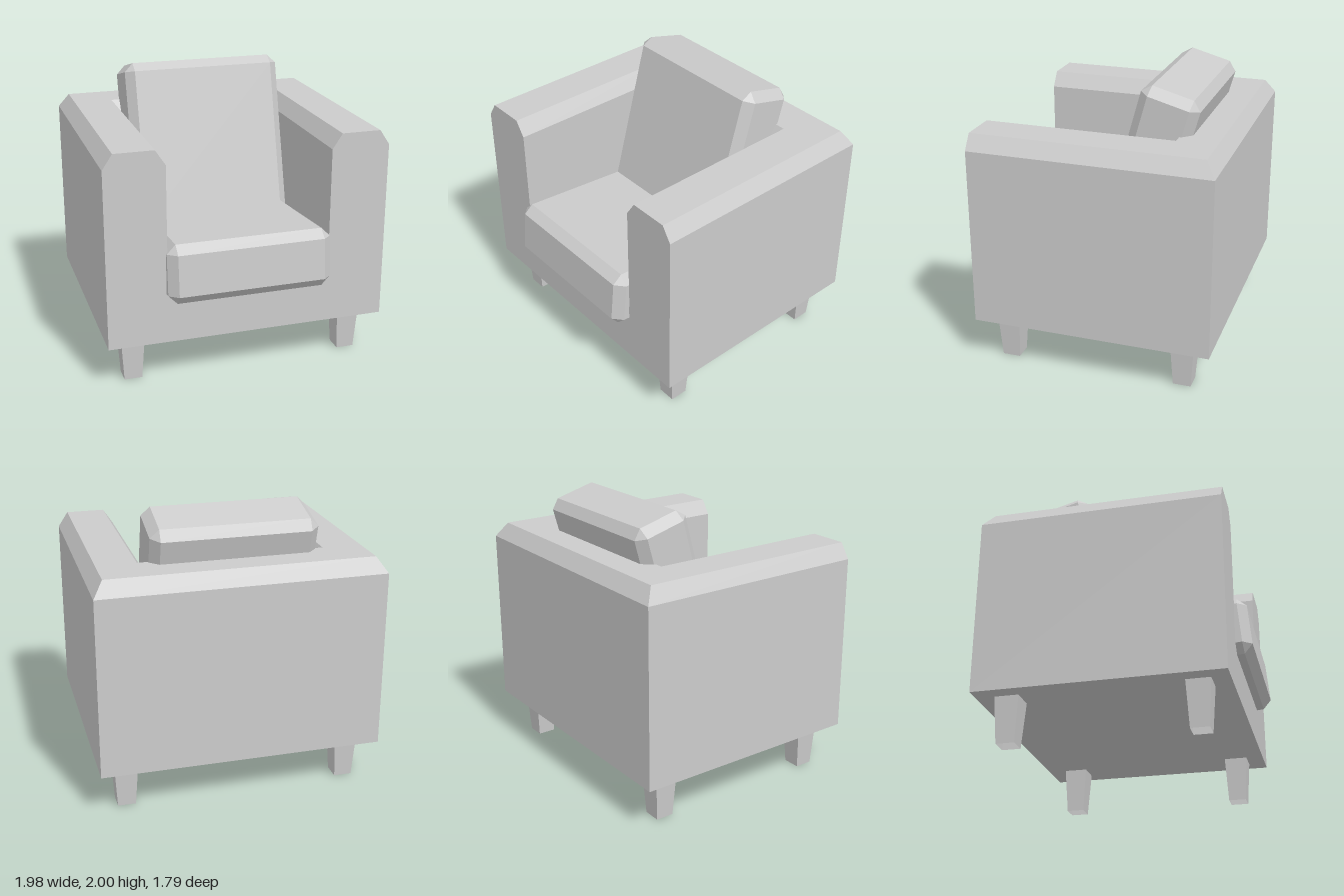
import * as THREE from 'three';
import { ConvexGeometry } from 'three/addons/geometries/ConvexGeometry.js';

const grey = new THREE.MeshStandardMaterial({ color: 0xcccccc, flatShading: true });
const greyOpen = new THREE.MeshStandardMaterial({ color: 0xcccccc, flatShading: true, side: THREE.DoubleSide });

function addMesh(parent, name, geometry, material = grey) {
  const mesh = new THREE.Mesh(geometry, material);
  mesh.name = name;
  parent.add(mesh);
  return mesh;
}

// Box with every edge and corner cut off
function chamferedBox(w, h, d, c) {
  const points = [];
  for (const x of [-1, 1]) for (const y of [-1, 1]) for (const z of [-1, 1]) {
    for (let axis = 0; axis < 3; axis++) {
      const inset = [c, c, c];
      inset[axis] = 0;
      points.push(new THREE.Vector3(x * (w / 2 - inset[0]), y * (h / 2 - inset[1]), z * (d / 2 - inset[2])));
    }
  }
  return new ConvexGeometry(points);
}

// Wall section: [distance in from the outer face, height]
const HALF = 0.99, FRONT = 0.79, BACK = -0.895, BOTTOM = 0.32, WALL = 0.415;
const section = [
  [0, BOTTOM], [0, 1.58], [0.07, 1.685], [WALL - 0.07, 1.685], [WALL, 1.58], [WALL, BOTTOM],
];

// Section swept round the arms and back with mitred corners
function wallGeometry() {
  const rings = [[1, true], [1, false], [-1, false], [-1, true]].map(([side, front]) =>
    section.map(([d, y]) => [side * (HALF - d), y, front ? FRONT : BACK + d]));
  const positions = [];
  for (let i = 0; i < rings.length - 1; i++) {
    for (let j = 0; j < section.length; j++) {
      const k = (j + 1) % section.length;
      const a = rings[i][j], b = rings[i + 1][j], c = rings[i + 1][k], d = rings[i][k];
      positions.push(...a, ...b, ...c, ...a, ...c, ...d);
    }
  }
  const geometry = new THREE.BufferGeometry();
  geometry.setAttribute('position', new THREE.Float32BufferAttribute(positions, 3));
  geometry.computeVertexNormals();
  return geometry;
}

// Cushion leaning back by an angle; up and out are ranges along its tilted axes
function addCushion(parent, name, lean, up, out) {
  const pivot = new THREE.Group();
  pivot.name = name;
  pivot.rotation.x = -lean;
  const geometry = chamferedBox(1.155, up[1] - up[0], out[1] - out[0], 0.062);
  const mesh = addMesh(pivot, name + 'Pad', geometry);
  mesh.position.set(-0.007, (up[0] + up[1]) / 2, (out[0] + out[1]) / 2);
  parent.add(pivot);
}

export function createModel() {
  const chair = new THREE.Group();
  chair.name = 'armchair';

  // Arms and back
  const frame = new THREE.Group();
  frame.name = 'frame';
  chair.add(frame);
  addMesh(frame, 'armsAndBack', wallGeometry());
  for (const side of [1, -1]) {
    const outline = new THREE.Shape(section.map(([d, y]) => new THREE.Vector2(side * (HALF - d), y)));
    addMesh(frame, side > 0 ? 'leftArmFront' : 'rightArmFront', new THREE.ShapeGeometry(outline)).position.z = FRONT;
  }

  // Seat base between the arms
  const innerBack = BACK + WALL, seatTop = 0.78;
  const base = addMesh(frame, 'seatBase',
    new THREE.BoxGeometry(2 * (HALF - WALL), seatTop - BOTTOM, FRONT - innerBack));
  base.position.set(0, (seatTop + BOTTOM) / 2, (FRONT + innerBack) / 2);

  // Cushions
  addCushion(chair, 'seatCushion', 0.093, [0.539, 0.952], [-0.26, 0.957]);
  addCushion(chair, 'backCushion', 0.267, [0.8, 2.019], [-0.162, 0.257]);

  // Tapered square legs, open underneath
  const legGeometry = new THREE.CylinderGeometry(0.083 * Math.SQRT2, 0.063 * Math.SQRT2, BOTTOM, 4, 1, true);
  legGeometry.rotateY(Math.PI / 4);
  for (const side of [1, -1]) {
    for (const [end, z] of [['front', 0.585], ['back', -0.682]]) {
      const name = end + (side > 0 ? 'Left' : 'Right') + 'Leg';
      addMesh(chair, name, legGeometry, greyOpen).position.set(side * 0.797, BOTTOM / 2, z);
    }
  }
  return chair;
}
